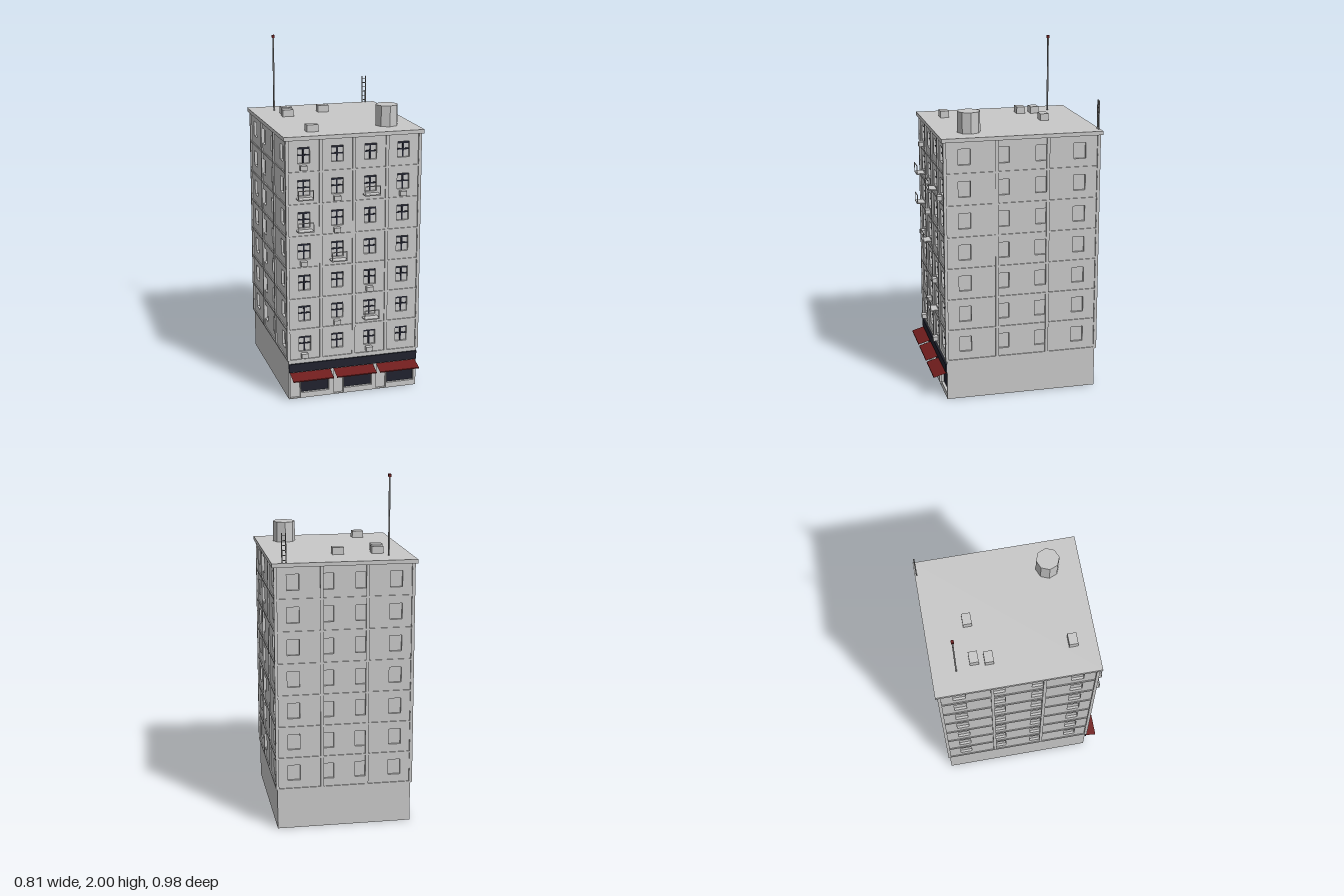
import * as THREE from 'three';

const mat = (name, color, extra = {}) =>
  Object.assign(new THREE.MeshStandardMaterial({ color, ...extra }), { name });

export function createModel() {
  const stone = mat('pale stone', 0xc8c8c8, { side: THREE.DoubleSide });
  const dark = mat('dark navy', 0x20222e);
  const red = mat('awning red', 0x701c1c, { side: THREE.DoubleSide });
  const steel = mat('steel grey', 0x808080);

  const W = 0.772, D = 0.886, T = 0.02, TOP = 1.522, BASE = 0.237, CZ = -0.03;
  const FLOORS = 7, STOREY = (TOP - BASE) / FLOORS;
  const WIN_W = 0.07, WIN_H = 0.09;
  const rowY = r => TOP - (r - 0.5) * STOREY + 0.004; // row 1 is the top floor
  const colX = c => (c - 2.5) * 0.193;                // front columns 1 to 4

  const model = new THREE.Group();
  model.name = 'apartmentBlock';

  const add = (parent, name, geo, material, x, y, z) => {
    const m = new THREE.Mesh(geo, material);
    m.name = name;
    m.position.set(x, y, z);
    parent.add(m);
    return m;
  };
  const box = (parent, name, w, h, d, material, x, y, z) =>
    add(parent, name, new THREE.BoxGeometry(w, h, d), material, x, y, z);

  // Rectangle path for wall outlines and openings
  const rect = (Type, x0, y0, x1, y1) => {
    const p = new Type();
    p.moveTo(x0, y0);
    p.lineTo(x1, y0);
    p.lineTo(x1, y1);
    p.lineTo(x0, y1);
    p.closePath();
    return p;
  };

  // One wall in its own frame: outer surface at local z = 0, facing +z
  function facade(name, width, reach, bays, columns, angle, isFront) {
    const g = new THREE.Group();
    g.name = name;
    g.rotation.y = angle;
    g.position.set(Math.sin(angle) * reach, 0, CZ + Math.cos(angle) * reach);
    model.add(g);

    const overlap = isFront || name === 'backFacade' ? 0 : T;
    const shape = rect(THREE.Shape, -width / 2 + overlap, 0, width / 2 - overlap, TOP);

    // Recessed windows
    for (let r = 1; r <= FLOORS; r++) {
      for (const x of columns) {
        const y = rowY(r);
        shape.holes.push(rect(THREE.Path, x - WIN_W / 2, y - WIN_H / 2, x + WIN_W / 2, y + WIN_H / 2));
        add(g, 'windowPane', new THREE.PlaneGeometry(WIN_W, WIN_H), stone, x, y, -0.014);
        if (isFront) {
          box(g, 'windowMullion', 0.009, WIN_H, 0.009, dark, x, y, -0.014);
          box(g, 'windowTransom', WIN_W, 0.008, 0.009, dark, x, y, -0.014);
          box(g, 'windowHead', WIN_W, 0.012, 0.009, dark, x, y + WIN_H / 2 - 0.006, -0.012);
        }
      }
    }

    // Shop windows and doors
    if (isFront) {
      for (let i = -1; i <= 1; i++) {
        const x = i * 0.259;
        const gx = x + 0.029, dx = x - 0.088;
        shape.holes.push(rect(THREE.Path, gx - 0.083, 0.032, gx + 0.083, 0.15));
        shape.holes.push(rect(THREE.Path, dx - 0.029, 0.004, dx + 0.029, 0.15));
        add(g, 'shopWindow', new THREE.PlaneGeometry(0.166, 0.118), dark, gx, 0.091, -0.015);
        add(g, 'shopDoor', new THREE.PlaneGeometry(0.058, 0.146), stone, dx, 0.077, -0.015);
      }
    }

    add(g, 'wall', new THREE.ExtrudeGeometry(shape, { depth: T, bevelEnabled: false }), stone, 0, 0, -T);

    // Pilasters and floor ledges
    for (let i = 0; i <= bays; i++) {
      const x = (i / bays - 0.5) * width;
      box(g, 'pilaster', 0.018, TOP - BASE, 0.016, stone, x, (TOP + BASE) / 2, 0);
    }
    for (let k = 0; k < FLOORS; k++) {
      box(g, 'floorLedge', width, 0.01, 0.012, stone, 0, BASE + k * STOREY, 0);
    }
    return g;
  }

  const frontCols = [1, 2, 3, 4].map(colX);
  const sideCols = [-1.5, -0.5, 0.5, 1.5].map(k => k * 0.2215);
  const front = facade('frontFacade', W, D / 2, 4, frontCols, 0, true);
  facade('backFacade', W, D / 2, 3, frontCols, Math.PI, false);
  facade('leftFacade', D, W / 2, 3, sideCols, Math.PI / 2, false);
  facade('rightFacade', D, W / 2, 3, sideCols, -Math.PI / 2, false);

  // Fascia band over the shops
  box(front, 'shopFascia', W, 0.05, 0.009, dark, 0, 0.191, 0.0045);

  // Sloping awnings with a short front lip
  for (let i = -1; i <= 1; i++) {
    const awning = new THREE.PlaneGeometry(0.24, 1, 1, 2);
    const p = awning.attributes.position;
    const profile = [[0.161, 0], [0.139, 0.076], [0.133, 0.0765]];
    for (let v = 0; v < p.count; v++) {
      const [y, z] = profile[Math.floor(v / 2)];
      p.setY(v, y);
      p.setZ(v, z);
    }
    const flat = awning.toNonIndexed();
    flat.computeVertexNormals();
    add(front, 'awning', flat, red, i * 0.259, 0, 0);
  }

  // Balconies: floor plate and thin railing
  for (const [c, r] of [[1, 2], [3, 2], [1, 3], [2, 4], [3, 6]]) {
    const b = new THREE.Group();
    b.name = 'balcony';
    b.position.set(colX(c), rowY(r) - 0.058, 0);
    front.add(b);
    box(b, 'balconyFloor', 0.09, 0.006, 0.05, stone, 0, 0, 0.025);
    box(b, 'balconyRail', 0.09, 0.005, 0.004, stone, 0, 0.052, 0.048);
    for (const s of [-1, 1]) {
      box(b, 'balconyPost', 0.004, 0.052, 0.004, stone, s * 0.043, 0.026, 0.048);
    }
  }

  // Air conditioners under some windows
  for (const [c, r] of [[1, 1], [2, 2], [4, 2], [2, 3], [1, 4], [3, 5], [2, 6], [1, 7], [3, 7]]) {
    box(front, 'airConditioner', 0.038, 0.026, 0.028, stone, colX(c) - 0.005, rowY(r) - 0.067, 0.014);
  }

  // Roof slab and rooftop units
  const ROOF = 1.544;
  box(model, 'roofSlab', 0.812, ROOF - TOP, 0.925, stone, 0, (ROOF + TOP) / 2, CZ);
  for (const [x, z] of [[-0.222, -0.252], [0.004, -0.252], [-0.234, -0.17], [-0.213, 0.3]]) {
    box(model, 'rooftopUnit', 0.066, 0.04, 0.05, stone, x, ROOF + 0.02, z);
  }

  // Eight-sided water tank
  const tank = new THREE.CylinderGeometry(0.066, 0.066, 0.119, 8).toNonIndexed();
  tank.computeVertexNormals();
  add(model, 'waterTank', tank, stone, 0.243, ROOF + 0.0595, 0.245);

  // Mast with beacon
  box(model, 'mast', 0.008, 0.445, 0.008, steel, -0.27, ROOF + 0.2225, -0.355);
  box(model, 'mastBeacon', 0.016, 0.016, 0.016, red, -0.27, 1.992, -0.355);

  // Roof ladder
  for (const x of [0.327, 0.349]) {
    box(model, 'ladderRail', 0.005, 0.165, 0.007, steel, x, ROOF + 0.0825, -0.482);
  }
  for (let i = 0; i < 6; i++) {
    box(model, 'ladderRung', 0.022, 0.004, 0.004, steel, 0.338, ROOF + 0.015 + i * 0.027, -0.482);
  }

  return model;
}
